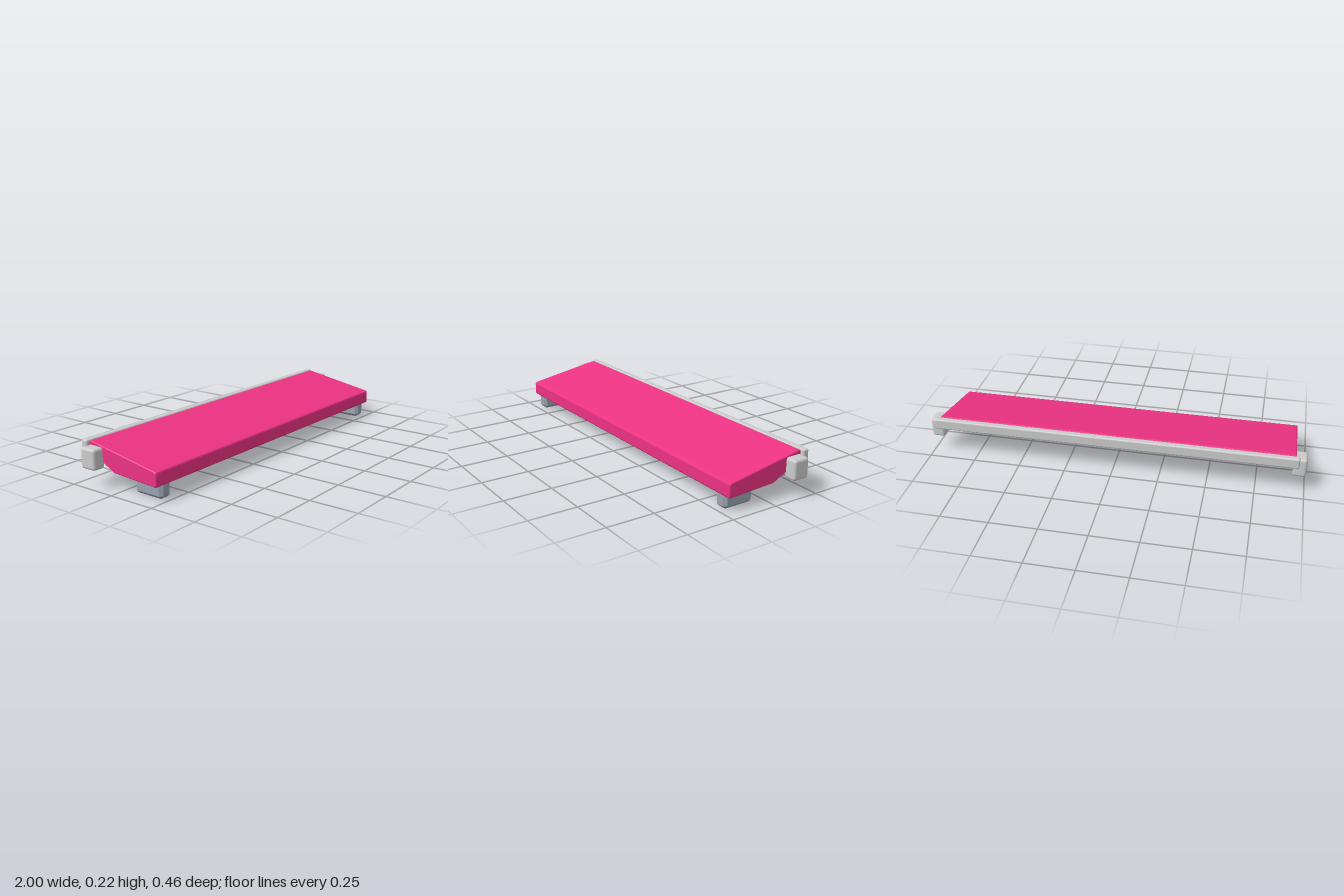
import * as THREE from 'three';
import { RoundedBoxGeometry } from 'three/addons/geometries/RoundedBoxGeometry.js';
import { ConvexGeometry } from 'three/addons/geometries/ConvexGeometry.js';

const material = (color) => new THREE.MeshStandardMaterial({ color });

// Box with every edge cut by one flat chamfer
function chamferBox(w, h, d, c) {
  const points = [];
  for (const sx of [-1, 1]) for (const sy of [-1, 1]) for (const sz of [-1, 1]) {
    for (let axis = 0; axis < 3; axis++) {
      const inset = [c, c, c];
      inset[axis] = 0;
      points.push(new THREE.Vector3(
        sx * (w / 2 - inset[0]), sy * (h / 2 - inset[1]), sz * (d / 2 - inset[2])));
    }
  }
  return new ConvexGeometry(points);
}

export function createModel() {
  const model = new THREE.Group();
  const pink = material(0xee3384);
  const silver = material(0xcccccc);
  const slate = material(0x9aa4b0);
  const teal = material(0x18b4cc);

  function add(name, geometry, mat, x, y, z) {
    const mesh = new THREE.Mesh(geometry, mat);
    mesh.name = name;
    mesh.position.set(x, y, z);
    model.add(mesh);
  }

  // Sloping wedge panel: side profile as [z, y], extruded along x
  const profile = [
    [0.224, 0.073], [0.229, 0.08], [0.229, 0.138], [0.226, 0.144], [0.215, 0.148],
    [-0.183, 0.218], [-0.191, 0.215], [-0.194, 0.208], [-0.194, 0.168],
    [-0.105, 0.122], [-0.035, 0.087],
  ];
  const shape = new THREE.Shape(profile.map(([z, y]) => new THREE.Vector2(-z, y)));
  const bevel = 0.004;
  const halfWidth = 0.943;
  const panel = new THREE.ExtrudeGeometry(shape, {
    depth: 2 * (halfWidth - bevel), bevelEnabled: true, bevelSegments: 1,
    bevelThickness: bevel, bevelSize: bevel, bevelOffset: -bevel,
  });
  panel.translate(0, 0, -(halfWidth - bevel));
  panel.rotateY(Math.PI / 2);
  add('panel', panel, pink, 0, 0, 0);

  // Rail along the raised rear edge
  add('rearRail', new RoundedBoxGeometry(1.92, 0.058, 0.035, 2, 0.009), silver, 0, 0.191, -0.2105);

  // Light strip below the rear slope
  add('underStrip', chamferBox(1.74, 0.021, 0.028, 0.006), teal, 0, 0.085, -0.0735);

  // End brackets and front feet, mirrored
  for (const [side, s] of [['left', 1], ['right', -1]]) {
    add(side + 'Bracket', new RoundedBoxGeometry(0.07, 0.104, 0.089, 2, 0.014), silver,
      s * 0.965, 0.146, -0.149);
    add(side + 'Foot', chamferBox(0.07, 0.1, 0.166, 0.015), slate, s * 0.87, 0.052, 0.14);
  }
  return model;
}
